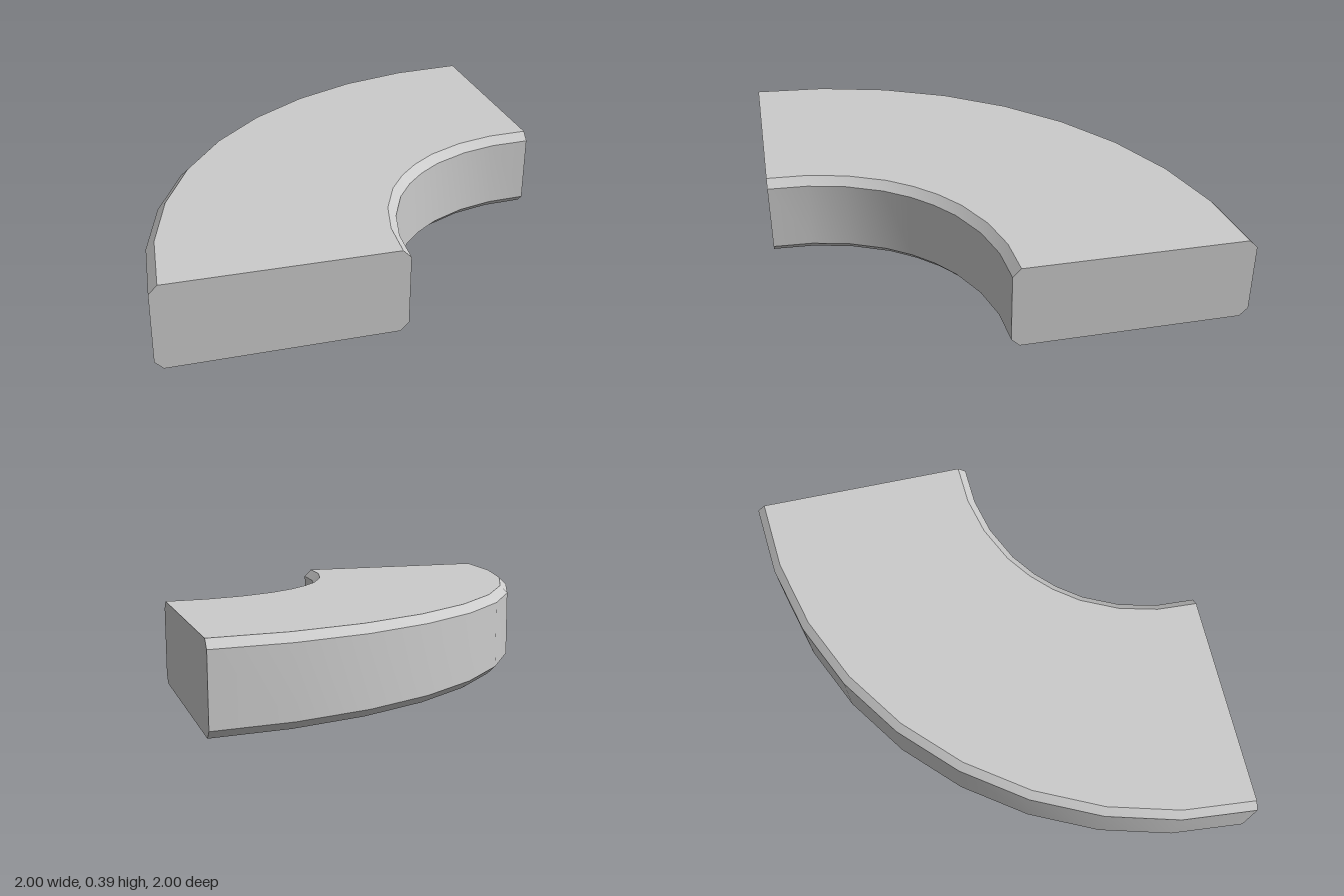
import * as THREE from 'three';
import { toCreasedNormals } from 'three/addons/utils/BufferGeometryUtils.js';

const HEIGHT = 0.388, BEVEL = 0.037, OUTER = 2;
// Inner edge at the top face, half of the arc: [angle in degrees, radius]
const HALF_INNER = [[0, 0.973], [11.2, 0.981], [22, 0.99], [33, 0.998], [41.2, 1]];
const INNER = [...HALF_INNER, ...HALF_INNER.map(([a, r]) => [90 - a, r]).reverse()];

// Point on the arc, whose centre is the front left corner
function arcPoint(degrees, radius, y) {
  const a = THREE.MathUtils.degToRad(degrees);
  return [1 - radius * Math.sin(a), y, 1 - radius * Math.cos(a)];
}

// Eight-sided bevelled cross-section at station i
function section(i) {
  const out = i * 10, [inn, r] = INNER[i];
  const low = BEVEL, high = HEIGHT - BEVEL;
  return [
    arcPoint(out, OUTER - BEVEL, 0),
    arcPoint(out, OUTER, low),
    arcPoint(out, OUTER, high),
    arcPoint(out, OUTER - BEVEL, HEIGHT),
    arcPoint(inn, r, HEIGHT),
    arcPoint(inn, r - BEVEL, high),
    arcPoint(inn, r - BEVEL, low),
    arcPoint(inn, r, 0),
  ];
}

export function createModel() {
  const group = new THREE.Group();
  group.name = 'curvedBlock';
  const sides = 8, last = INNER.length - 1;
  const positions = INNER.flatMap((_, i) => section(i).flat());
  const index = [];

  // Skin between neighbouring sections
  for (let i = 0; i < last; i++) {
    for (let j = 0; j < sides; j++) {
      const k = (j + 1) % sides;
      const a = i * sides + j, b = a + sides, c = i * sides + k, d = c + sides;
      index.push(a, b, c, b, d, c);
    }
  }
  // Flat end caps
  const end = last * sides;
  for (let j = 1; j < sides - 1; j++) {
    index.push(0, j, j + 1, end, end + j + 1, end + j);
  }

  const geometry = new THREE.BufferGeometry();
  geometry.setAttribute('position', new THREE.Float32BufferAttribute(positions, 3));
  geometry.setIndex(index);
  const material = new THREE.MeshStandardMaterial({ color: 0xcccccc });
  const mesh = new THREE.Mesh(toCreasedNormals(geometry, Math.PI / 6), material);
  mesh.name = 'quarterRing';
  group.add(mesh);
  return group;
}
